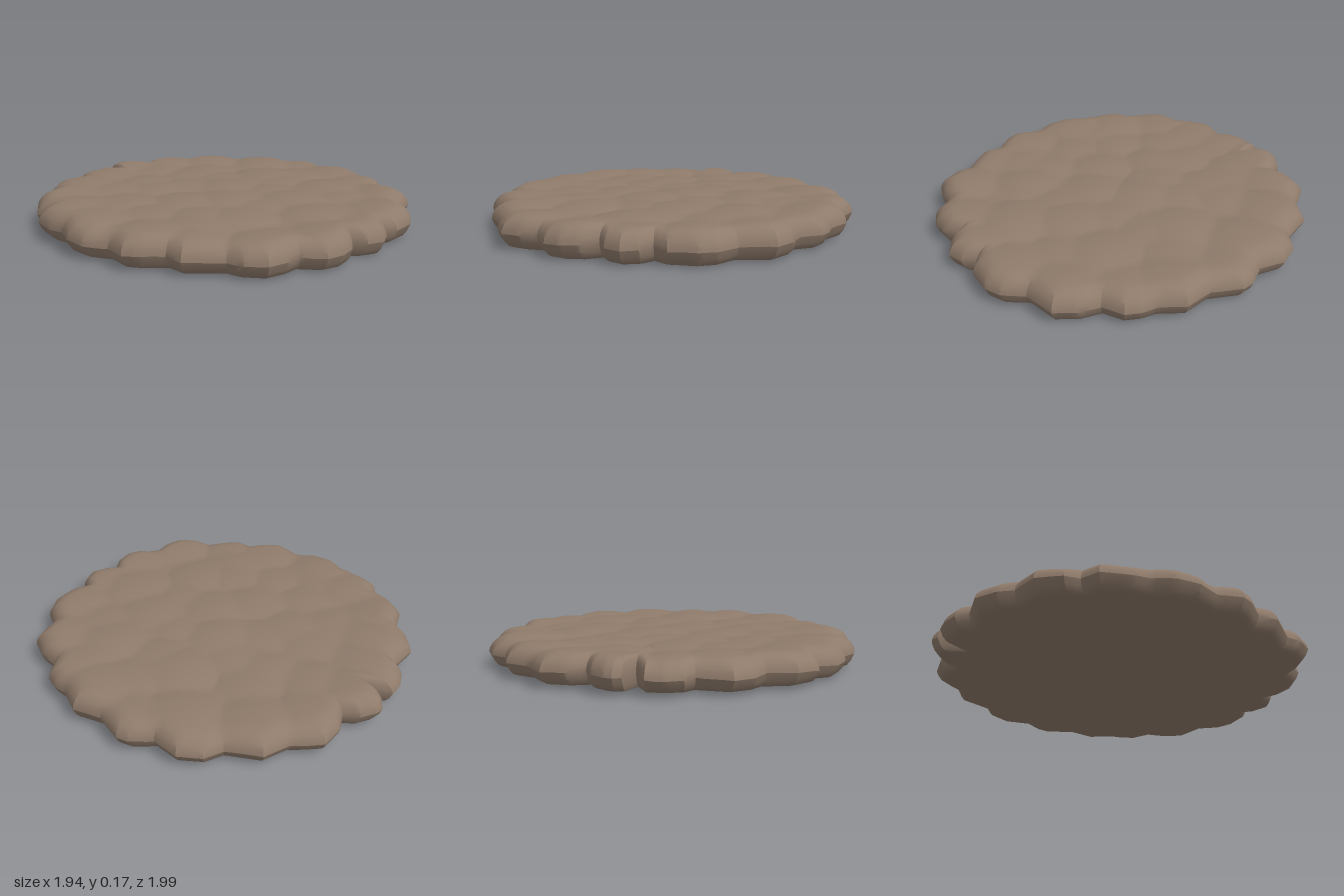
import * as THREE from 'three';
import { toCreasedNormals } from 'three/addons/utils/BufferGeometryUtils.js';

// Lobed rim seen from above, as x, z pairs
const OUTLINE = [
  0.97, -0.07, 0.91, 0.08, 0.94, 0.23, 0.87, 0.35, 0.86, 0.43, 0.83, 0.5, 0.73, 0.56, 0.71, 0.67,
  0.65, 0.77, 0.48, 0.81, 0.41, 0.91, 0.33, 0.95, 0.19, 0.95, 0.12, 0.9, 0.07, 0.96, -0.01, 0.99,
  -0.09, 0.95, -0.13, 0.89, -0.21, 0.94, -0.3, 0.95, -0.38, 0.92, -0.45, 0.82, -0.54, 0.82,
  -0.64, 0.79, -0.7, 0.7, -0.71, 0.61, -0.78, 0.53, -0.84, 0.46, -0.83, 0.36, -0.92, 0.26,
  -0.95, 0.2, -0.92, 0.08, -0.97, -0.04, -0.96, -0.16, -0.91, -0.26, -0.91, -0.35, -0.87, -0.49,
  -0.78, -0.54, -0.78, -0.62, -0.69, -0.73, -0.55, -0.77, -0.51, -0.85, -0.42, -0.92, -0.25, -0.9,
  -0.21, -0.96, -0.13, -0.99, -0.04, -0.99, 0.02, -0.875, 0.06, -0.98, 0.1, -1, 0.14, -0.99,
  0.21, -0.94, 0.25, -0.865, 0.34, -0.9, 0.46, -0.89, 0.51, -0.83, 0.56, -0.76, 0.69, -0.7,
  0.76, -0.53, 0.85, -0.48, 0.91, -0.37, 0.89, -0.23, 0.96, -0.13,
];

// Rounded edge: scale of the outline, share of the full height
const EDGE = [
  [0.002, 0], [0.5, 0], [0.9, 0], [0.945, 0.01], [0.965, 0.07], [0.985, 0.24], [1, 0.48],
  [0.995, 0.64], [0.98, 0.79], [0.96, 0.9], [0.935, 0.965],
];
const TOP_RINGS = 30;
const SPLIT = 4;

function seeded(seed) {
  return () => {
    seed = (seed * 16807) % 2147483647;
    return seed / 2147483647;
  };
}

// Tilted, gently domed stones: one per rim lobe, the rest spread in a spiral
function makeStones(points) {
  const random = seeded(4127);
  const stones = [];
  const add = (x, z) => stones.push({
    x, z,
    height: 0.159 + random() * 0.012,
    tiltX: (random() - 0.5) * 0.12,
    tiltZ: (random() - 0.5) * 0.12,
  });
  const n = points.length;
  points.forEach((p, i) => {
    const r = p.length();
    if (r > points[(i + n - 1) % n].length() && r >= points[(i + 1) % n].length()) {
      add(p.x * 0.84, p.y * 0.84);
    }
  });
  for (let i = 0; i < 26; i++) {
    const r = 0.68 * Math.sqrt((i + 0.5) / 26);
    const a = i * 2.39996;
    add(r * Math.cos(a) + (random() - 0.5) * 0.12, r * Math.sin(a) + (random() - 0.5) * 0.12);
  }
  return stones;
}

// The highest stone at each place forms the surface
function topHeight(stones, x, z) {
  let best = 0.142;
  for (const s of stones) {
    const dx = x - s.x, dz = z - s.z;
    const h = s.height + s.tiltX * dx + s.tiltZ * dz - 0.55 * (dx * dx + dz * dz);
    best = Math.max(best, h);
  }
  return Math.min(best, 0.172);
}

function slabGeometry() {
  const corners = [];
  for (let i = 0; i < OUTLINE.length; i += 2) {
    corners.push(new THREE.Vector2(OUTLINE[i], OUTLINE[i + 1]));
  }
  const stones = makeStones(corners);

  const rim = [];
  corners.forEach((p, i) => {
    const next = corners[(i + 1) % corners.length];
    for (let k = 0; k < SPLIT; k++) rim.push(p.clone().lerp(next, k / SPLIT));
  });

  const rings = [...EDGE];
  for (let i = 0; i <= TOP_RINGS; i++) {
    rings.push([0.905 * (1 - i / TOP_RINGS) + 0.002, 1]);
  }

  const positions = [];
  const index = [];
  const n = rim.length;
  rings.forEach(([scale, share], ring) => {
    rim.forEach((p, j) => {
      const x = p.x * scale, z = p.y * scale;
      const base = Math.max(0, 0.009 * (0.95 - z)); // underside rises slightly to the back
      positions.push(x, base + (topHeight(stones, x, z) - base) * share, z);
      if (ring === rings.length - 1) return;
      const a = ring * n + j, b = ring * n + (j + 1) % n;
      index.push(a, a + n, b, b, a + n, b + n);
    });
  });

  const geometry = new THREE.BufferGeometry();
  geometry.setAttribute('position', new THREE.Float32BufferAttribute(positions, 3));
  geometry.setIndex(index);
  return toCreasedNormals(geometry, 0.5);
}

export function createModel() {
  const group = new THREE.Group();
  group.name = 'stonePlatform';
  const stone = new THREE.MeshStandardMaterial({ color: 0x8f7b6b });
  stone.name = 'brown stone';
  const slab = new THREE.Mesh(slabGeometry(), stone);
  slab.name = 'stoneSlab';
  group.add(slab);
  return group;
}
